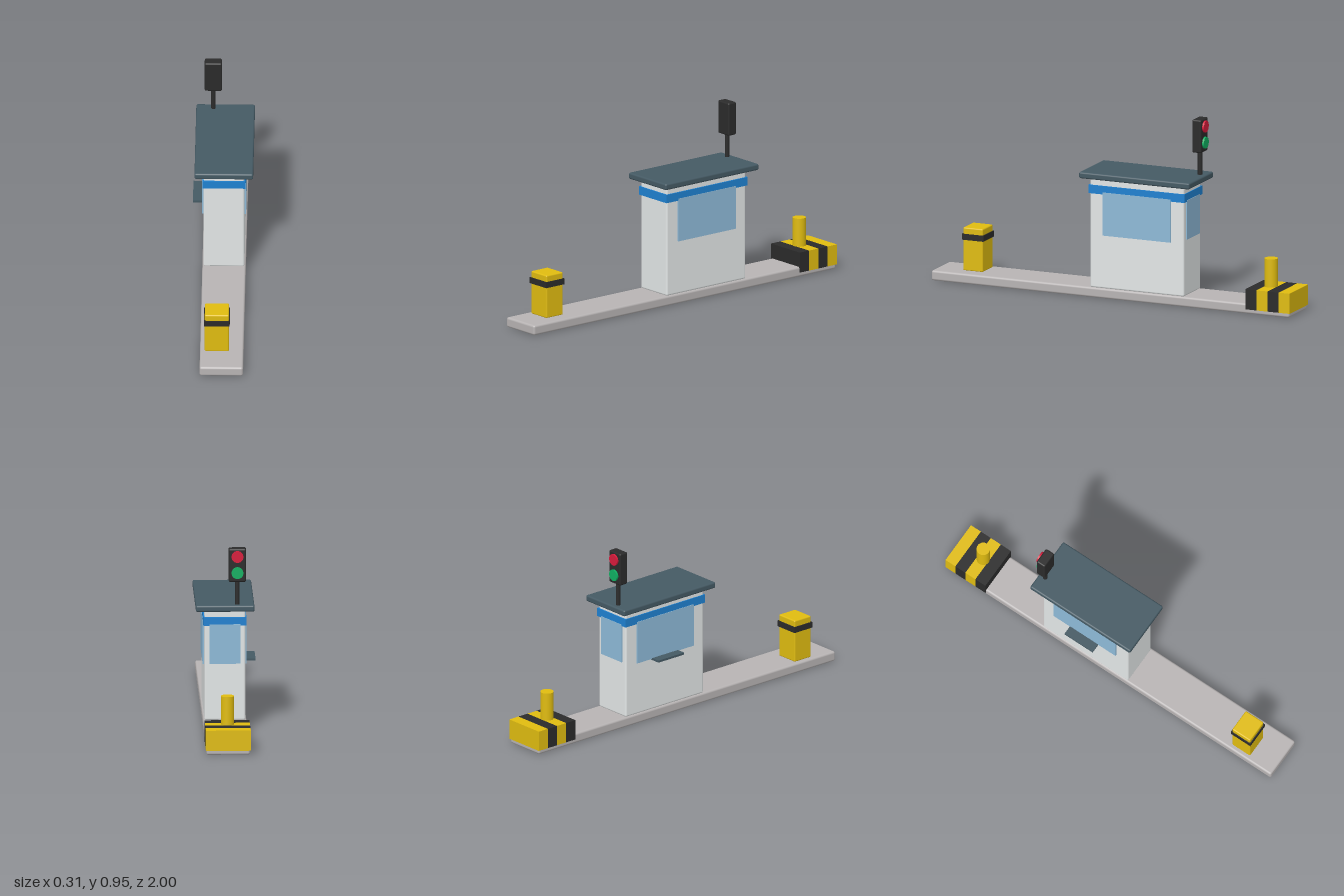
import * as THREE from 'three';
import { RoundedBoxGeometry } from 'three/addons/geometries/RoundedBoxGeometry.js';

const material = (name, color) => {
  const m = new THREE.MeshStandardMaterial({ color });
  m.name = name;
  return m;
};

export function createModel() {
  const concrete = material('concrete grey', 0xb8b4b4);
  const wall = material('wall white', 0xe4e8e8);
  const slate = material('roof slate', 0x455a64);
  const blue = material('band blue', 0x1f82d2);
  const glass = material('window glass', 0x8ebad8);
  const yellow = material('safety yellow', 0xe0bc10);
  const black = material('charcoal', 0x2b2b2b);
  const red = material('lamp red', 0xd81b3c);
  const green = material('lamp green', 0x10b062);

  const model = new THREE.Group();
  model.name = 'tollBoothIsland';

  const add = (name, geometry, mat, x, y, z) => {
    const mesh = new THREE.Mesh(geometry, mat);
    mesh.name = name;
    mesh.position.set(x, y, z);
    model.add(mesh);
    return mesh;
  };
  // Box from its extents, with optional edge rounding
  const box = (name, mat, [x0, x1], [y0, y1], [z0, z1], radius = 0) => {
    const size = [x1 - x0, y1 - y0, z1 - z0];
    const geometry = radius
      ? new RoundedBoxGeometry(...size, 3, radius)
      : new THREE.BoxGeometry(...size);
    return add(name, geometry, mat, (x0 + x1) / 2, (y0 + y1) / 2, (z0 + z1) / 2);
  };
  const cylinder = (name, mat, radius, height, x, y, z) =>
    add(name, new THREE.CylinderGeometry(radius, radius, height, 32), mat, x, y, z);

  // Raised island
  box('island', concrete, [-0.106, 0.115], [0, 0.052], [-0.996, 1], 0.011);

  // Booth with trim band and overhanging roof
  box('boothBody', wall, [-0.1, 0.108], [0.05, 0.624], [-0.406, 0.117], 0.01);
  box('trimBand', blue, [-0.105, 0.114], [0.542, 0.586], [-0.412, 0.123]);
  box('roof', slate, [-0.145, 0.153], [0.623, 0.656], [-0.456, 0.16], 0.009);

  // Side and back windows, and the service shelf
  box('rightWindow', glass, [0.107, 0.1155], [0.328, 0.553], [-0.335, 0.045]);
  box('leftWindow', glass, [-0.1075, -0.099], [0.328, 0.553], [-0.335, 0.045]);
  box('backWindow', glass, [-0.075, 0.083], [0.345, 0.55], [-0.4135, -0.405]);
  box('serviceShelf', slate, [-0.156, -0.1], [0.321, 0.332], [-0.235, -0.062]);

  // Front bollard
  box('frontBollard', yellow, [-0.082, 0.041], [0.05, 0.275], [0.746, 0.856], 0.007);
  box('frontBollardBand', black, [-0.086, 0.045], [0.211, 0.242], [0.741, 0.861]);

  // Striped crash block with its post
  const edges = [-1, -0.939, -0.878, -0.816, -0.754];
  for (let i = 0; i < 4; i++) {
    box('crashBlockStripe' + (i + 1), i % 2 ? black : yellow,
      [-0.11, 0.118], [0.023, 0.128], [edges[i], edges[i + 1]]);
  }
  cylinder('crashBlockPost', yellow, 0.034, 0.15, 0.004, 0.2, -0.846);

  // Signal light on the roof, facing backwards
  cylinder('signalPole', black, 0.012, 0.14, -0.058, 0.715, -0.421);
  box('signalHousing', black, [-0.102, -0.014], [0.776, 0.948], [-0.446, -0.395], 0.008);
  for (const [name, mat, y] of [['redLamp', red, 0.908], ['greenLamp', green, 0.824]]) {
    cylinder(name, mat, 0.03, 0.012, -0.058, y, -0.45).rotation.x = Math.PI / 2;
  }

  return model;
}
